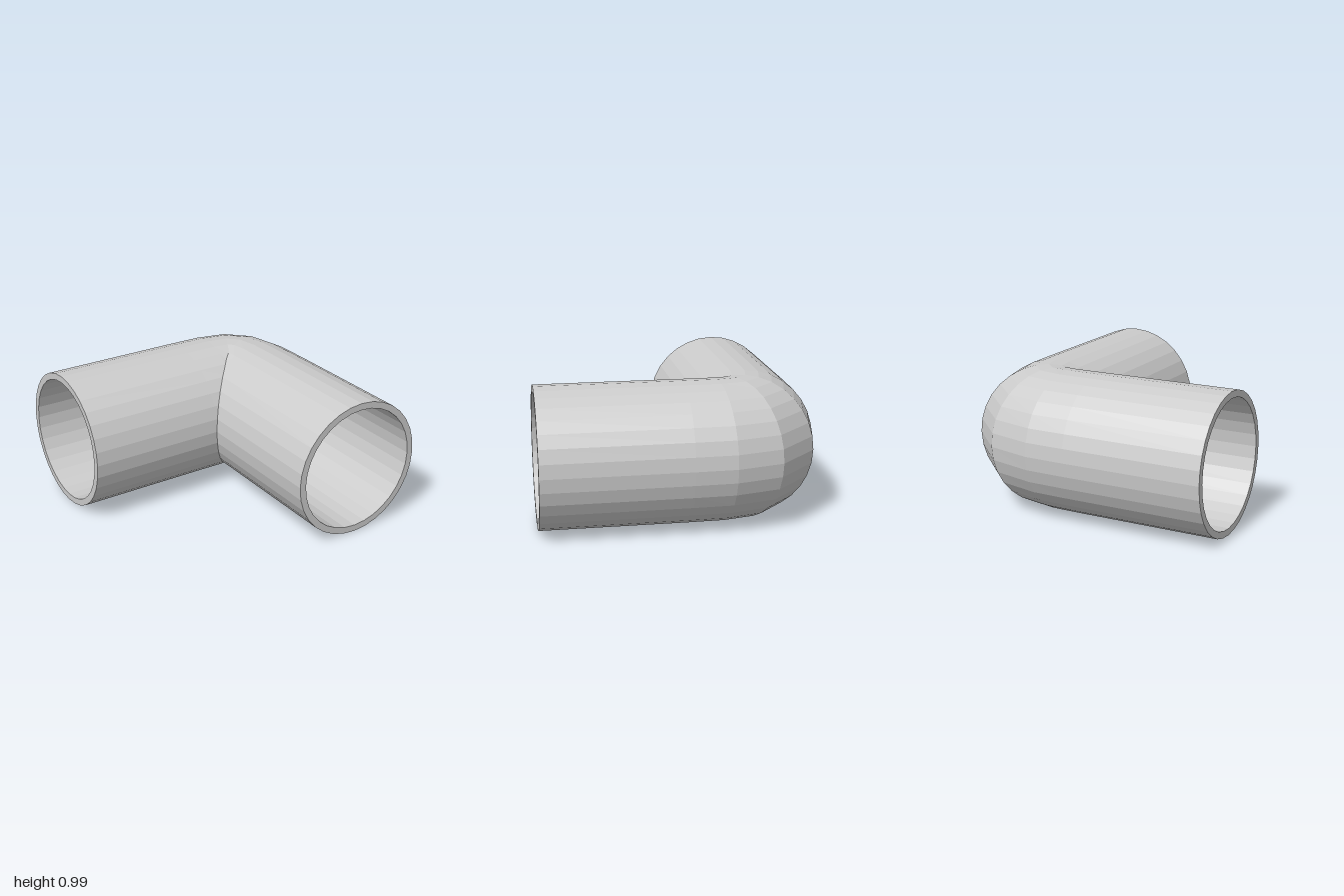
import * as THREE from 'three';

const SIDES = 32, OUTER = 0.495, INNER = 0.447;
const X = 0.492, Z = -0.505, Y = OUTER; // centre lines of the two arms

// Centre line: straight arm, tight bend in five steps, straight arm
function centreLine() {
  const corner = new THREE.Vector3(X, Y, Z);
  const bend = new THREE.CubicBezierCurve3(
    new THREE.Vector3(0, Y, Z), corner, corner, new THREE.Vector3(X, Y, -0.013));
  return [new THREE.Vector3(-0.987, Y, Z), ...bend.getPoints(5), new THREE.Vector3(X, Y, 1)];
}

// One ring of points square to the averaged direction of the path
function ring(path, i, radius) {
  const dir = (a, b) => path[b].clone().sub(path[a]).normalize();
  const t = new THREE.Vector3();
  if (i > 0) t.add(dir(i - 1, i));
  if (i < path.length - 1) t.add(dir(i, i + 1));
  t.normalize();
  const up = new THREE.Vector3(0, 1, 0);
  const side = t.clone().cross(up);
  return Array.from({ length: SIDES }, (_, j) => {
    const a = (j / SIDES) * Math.PI * 2;
    return path[i].clone()
      .addScaledVector(up, radius * Math.cos(a))
      .addScaledVector(side, radius * Math.sin(a));
  });
}

// Outer wall forwards, inner wall backwards, then closed: this also makes both rims
function pipeGeometry() {
  const path = centreLine();
  const outer = path.map((_, i) => ring(path, i, OUTER));
  const inner = path.map((_, i) => ring(path, i, INNER)).reverse();
  const rings = [...outer, ...inner, outer[0]];
  const points = [];
  for (let i = 0; i < rings.length - 1; i++) {
    for (let j = 0; j < SIDES; j++) {
      const k = (j + 1) % SIDES;
      const a = rings[i][j], b = rings[i][k], c = rings[i + 1][k], d = rings[i + 1][j];
      points.push(a, b, c, a, c, d);
    }
  }
  const geometry = new THREE.BufferGeometry().setFromPoints(points);
  geometry.computeVertexNormals();
  return geometry;
}

export function createModel() {
  const group = new THREE.Group();
  group.name = 'elbowPipe';
  const material = new THREE.MeshStandardMaterial({ color: 0xcccccc, flatShading: true });
  const pipe = new THREE.Mesh(pipeGeometry(), material);
  pipe.name = 'bentPipe';
  group.add(pipe);
  return group;
}
